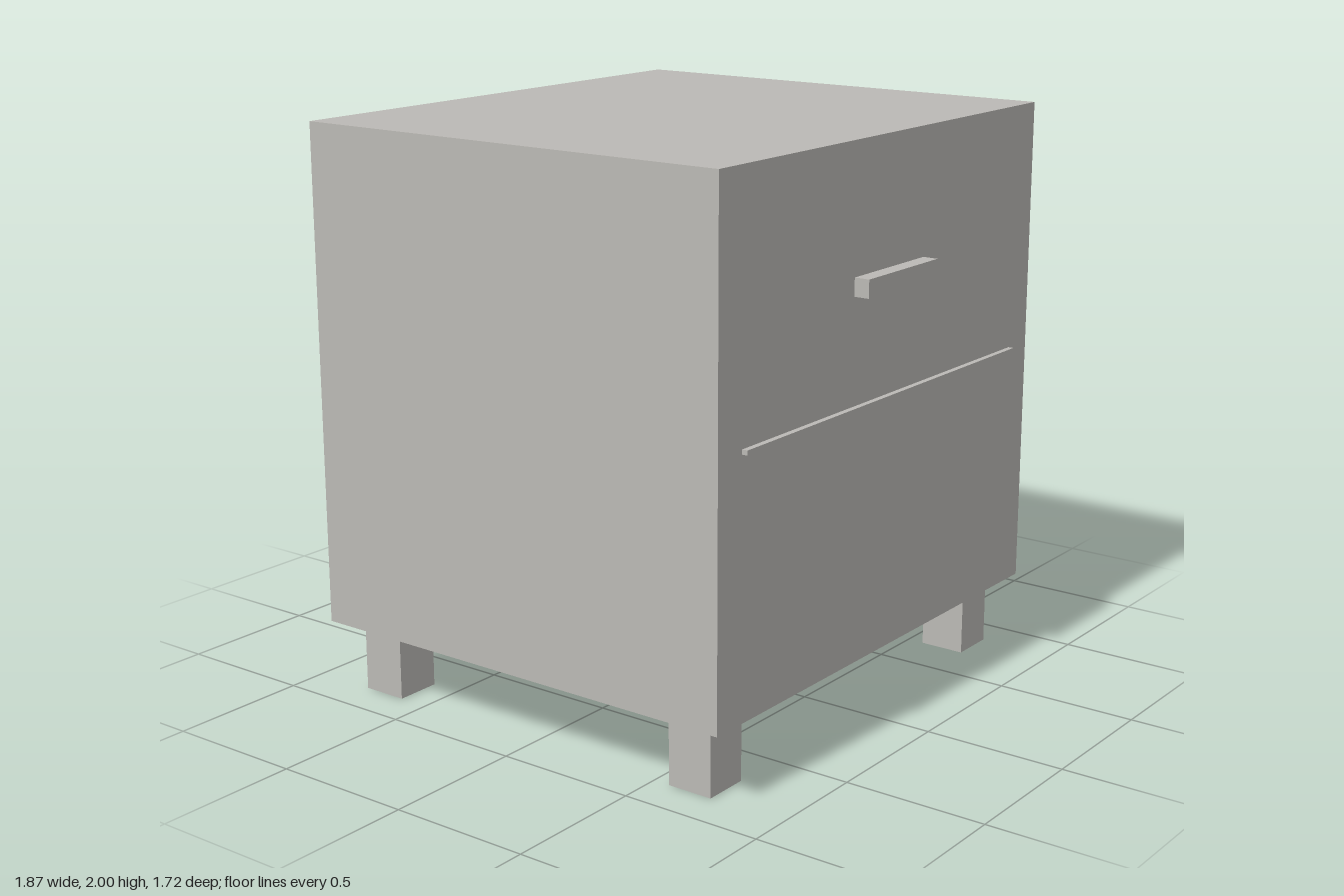
import * as THREE from 'three';

export function createModel() {
  const model = new THREE.Group();
  model.name = 'nightstand';
  const grey = new THREE.MeshStandardMaterial({ color: 0xbbb9b5 });
  grey.name = 'warm grey';

  // Box given by its lower and upper limits on each axis
  function box(name, [x0, x1], [y0, y1], [z0, z1]) {
    const mesh = new THREE.Mesh(new THREE.BoxGeometry(x1 - x0, y1 - y0, z1 - z0), grey);
    mesh.position.set((x0 + x1) / 2, (y0 + y1) / 2, (z0 + z1) / 2);
    mesh.name = name;
    model.add(mesh);
  }

  // Cabinet
  box('cabinet', [-0.935, 0.935], [0.255, 2], [-0.86, 0.806]);

  // Drawer handle and the thin strip below the drawer
  box('drawerHandle', [-0.208, 0.208], [1.502, 1.564], [0.806, 0.86]);
  box('drawerStrip', [-0.813, 0.813], [1.125, 1.141], [0.806, 0.826]);

  // Four square legs
  for (const [side, x] of [['Left', 0.774], ['Right', -0.774]]) {
    for (const [end, z] of [['front', 0.642], ['back', -0.692]]) {
      box(`${end}${side}Leg`, [x - 0.082, x + 0.082], [0, 0.255], [z - 0.082, z + 0.082]);
    }
  }
  return model;
}
